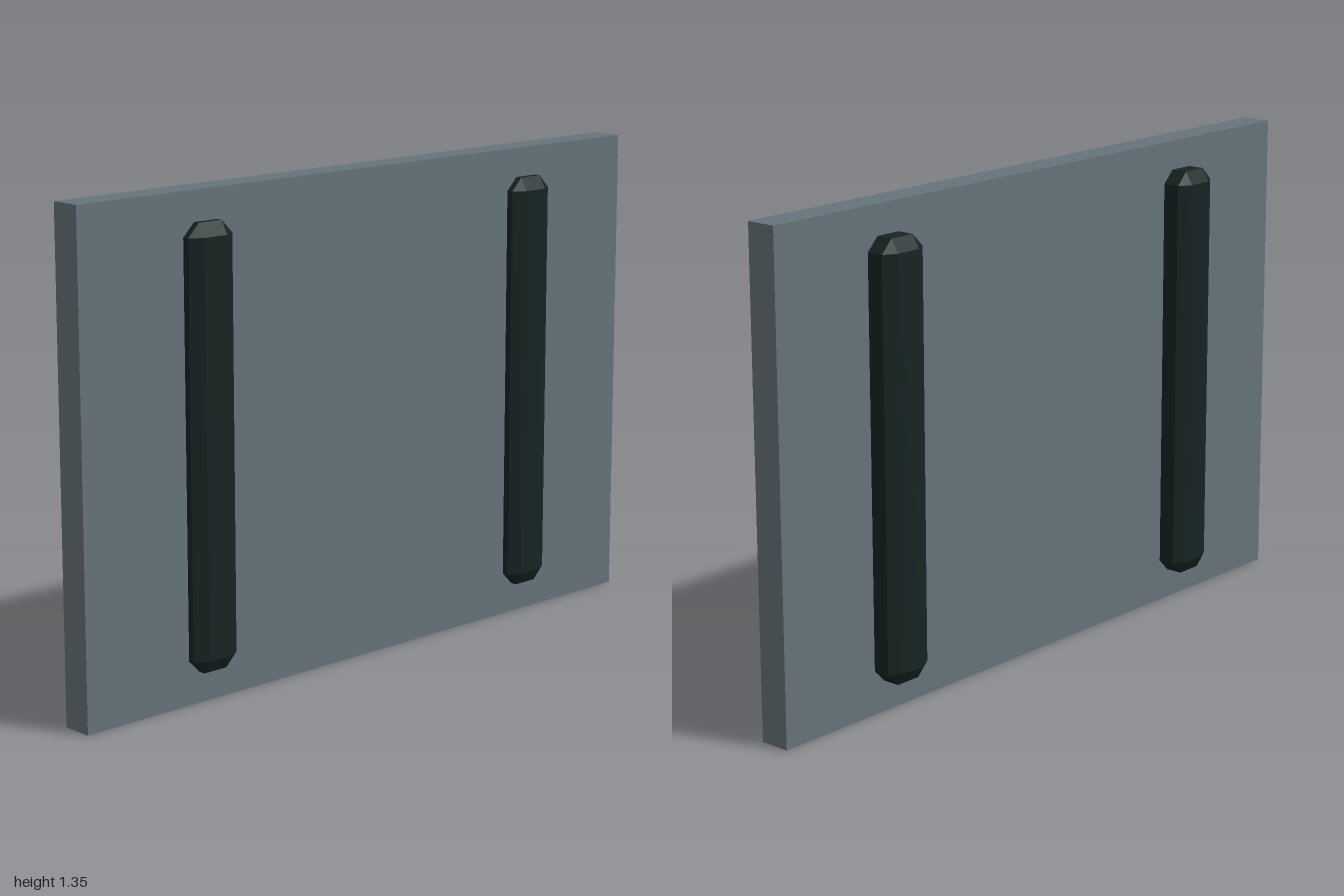
import * as THREE from 'three';
import { ConvexGeometry } from 'three/addons/geometries/ConvexGeometry.js';

// Box with every edge chamfered: half sizes h, chamfer depths c
function chamferedBox(h, c) {
  const points = [];
  for (const sx of [-1, 1]) for (const sy of [-1, 1]) for (const sz of [-1, 1]) {
    // each corner becomes three points, one on each adjoining face
    for (let face = 0; face < 3; face++) {
      const [x, y, z] = h.map((v, i) => (i === face ? v : v - c[i]));
      points.push(new THREE.Vector3(sx * x, sy * y, sz * z));
    }
  }
  return new ConvexGeometry(points);
}

export function createModel() {
  const model = new THREE.Group();
  model.name = 'boardWithBars';
  const boardMaterial = new THREE.MeshStandardMaterial({ color: 0x67747b });
  const barMaterial = new THREE.MeshStandardMaterial({ color: 0x162423, flatShading: true });

  // Upright board, slightly off centre in thickness
  const board = new THREE.Mesh(new THREE.BoxGeometry(0.087, 1.352, 2), boardMaterial);
  board.name = 'board';
  board.position.set(0.015, 0.676, 0);
  model.add(board);

  // Two chamfered bars passing through the board
  const barGeometry = chamferedBox([0.098, 0.593, 0.074], [0.021, 0.036, 0.036]);
  for (const [name, z] of [['frontBar', 0.588], ['backBar', -0.604]]) {
    const bar = new THREE.Mesh(barGeometry, barMaterial);
    bar.name = name;
    bar.position.set(0, 0.677, z);
    model.add(bar);
  }
  return model;
}
